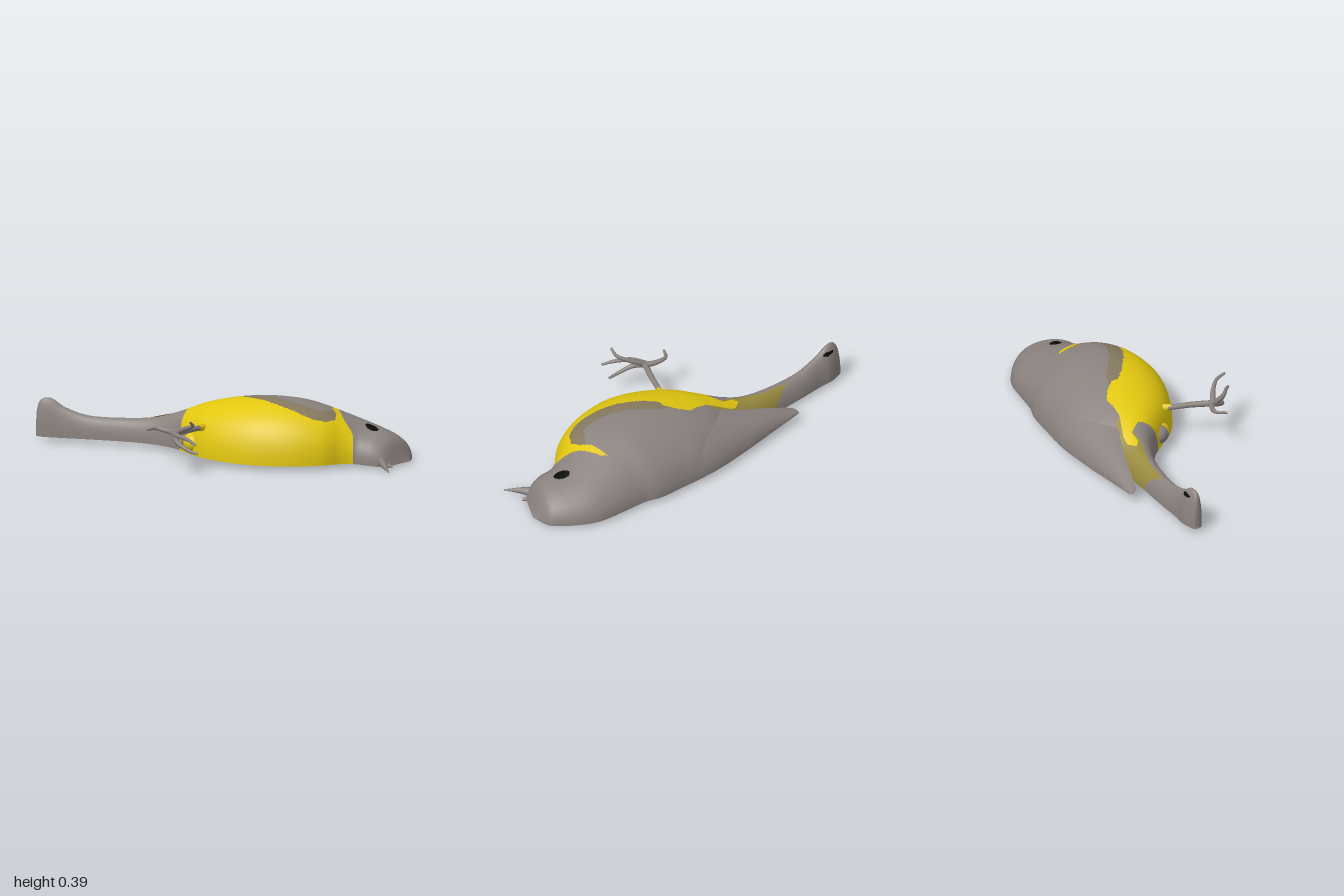
import * as THREE from 'three';

const mat = (name, color, side = THREE.DoubleSide) => {
  const m = new THREE.MeshStandardMaterial({ color, side });
  m.name = name;
  return m;
};

// Body stations from head to tail: belly edge x,z, back edge x,z, crest height, rim height
const STATIONS = [
  [.6, .845, .79, .785, .022, .02], [.545, .825, .86, .69, .145, .02],
  [.49, .785, .873, .62, .195, .025], [.455, .74, .86, .5, .22, .028],
  [.42, .71, .81, .36, .25, .03], [.34, .69, .7, .22, .3, .035],
  [.2, .685, .6, .1, .355, .04], [.02, .61, .54, 0, .39, .04],
  [-.15, .47, .42, -.13, .4, .04], [-.26, .3, .28, -.27, .378, .04],
  [-.32, .12, .1, -.38, .335, .04], [-.325, -.05, -.05, -.42, .285, .04],
  [-.33, -.22, -.17, -.46, .235, .04], [-.385, -.38, -.27, -.53, .195, .04],
  [-.5, -.54, -.4, -.64, .178, .04], [-.66, -.71, -.57, -.79, .18, .04],
  [-.77, -.82, -.69, -.89, .225, .04], [-.84, -.89, -.75, -.95, .28, .04],
  [-.875, -.93, -.82, -.99, .27, .04], [-.882, -.96, -.85, -1, .2, .04],
  [-.875, -.98, -.868, -.99, .05, .04],
];

// Wing stations: inner edge x,y,z, outer edge x,y,z
const WING = [
  [.07, .33, -.06, .44, .045, -.1], [-.07, .285, -.21, .26, .045, -.3],
  [-.165, .22, -.4, .03, .05, -.485], [-.28, .16, -.59, -.17, .06, -.635],
  [-.375, .1, -.73, -.34, .075, -.77], [-.37, .08, -.775, -.36, .078, -.78],
];

// Plumage patches as outlines seen from above
const YELLOW = [[-.27, -.41], [-.21, -.4], [-.17, -.36], [-.09, -.22], [.02, -.13], [.04, -.06], [.04, .03],
  [.01, .06], [.02, .16], [.06, .32], [.1, .42], [.16, .52], [.21, .57], [.29, .6], [.37, .58], [.41, .52],
  [.43, .44], [.5, .34], [.505, .38], [.45, .52], [.44, .58], [.45, .66], [.41, .73], [.3, .9],
  [-.5, .6], [-.5, 0], [-.3, -.17], [-.22, -.23], [-.21, -.32], [-.27, -.37]];
const DUSKY = [[.03, -.03], [.09, .06], [.13, .24], [.2, .41], [.29, .51], [.4, .49], [.44, .46],
  [.4, .6], [.27, .64], [.1, .55], [0, .3], [-.02, .1]];
const OLIVE = [[-.54, -.69], [-.4, -.64], [-.2, -.5], [-.08, -.25], [-.2, -.3], [-.3, -.38], [-.4, -.54]];

function inside(poly, x, z) {
  let hit = false;
  poly.forEach(([ax, az], i) => {
    const [bx, bz] = poly[(i + 1) % poly.length];
    if ((az > z) !== (bz > z) && x < ax + (bx - ax) * (z - az) / (bz - az)) hit = !hit;
  });
  return hit;
}

const spline = (rows, f) => new THREE.CatmullRomCurve3(rows.map(r => new THREE.Vector3(...f(r))), false, 'catmullrom', 0.5);

// Surface point(u, v) as a smooth sheet; pick() chooses the material of each triangle
function sheet(name, point, nu, nv, materials, pick = () => 0) {
  const pos = [], lists = materials.map(() => []);
  for (let i = 0; i <= nu; i++)
    for (let j = 0; j <= nv; j++) pos.push(...point(i / nu, j / nv));
  const centre = (t, k) => (pos[t[0] * 3 + k] + pos[t[1] * 3 + k] + pos[t[2] * 3 + k]) / 3;
  for (let i = 0; i < nu; i++)
    for (let j = 0; j < nv; j++) {
      const a = i * (nv + 1) + j, b = a + nv + 1;
      for (const t of [[a, a + 1, b], [a + 1, b + 1, b]])
        lists[pick(centre(t, 0), centre(t, 1), centre(t, 2), j / nv)].push(...t);
    }
  const g = new THREE.BufferGeometry();
  g.setAttribute('position', new THREE.Float32BufferAttribute(pos, 3));
  g.setIndex(lists.flat());
  let start = 0;
  lists.forEach((l, k) => {
    if (l.length) g.addGroup(start, l.length, k);
    start += l.length;
  });
  g.computeVertexNormals();
  const mesh = new THREE.Mesh(g, materials);
  mesh.name = name;
  return mesh;
}

// Tapering round limb through a few points
function limb(name, points, r0, r1, material) {
  const curve = new THREE.CatmullRomCurve3(points.map(p => new THREE.Vector3(...p)));
  const n = 20, sides = 8;
  const g = new THREE.TubeGeometry(curve, n, 1, sides);
  const p = g.attributes.position, v = new THREE.Vector3();
  for (let i = 0; i <= n; i++) {
    const c = curve.getPointAt(i / n), r = r0 + (r1 - r0) * i / n;
    for (let j = 0; j <= sides; j++) {
      const k = i * (sides + 1) + j;
      v.fromBufferAttribute(p, k).sub(c).multiplyScalar(r).add(c);
      p.setXYZ(k, v.x, v.y, v.z);
    }
  }
  const mesh = new THREE.Mesh(g, material);
  mesh.name = name;
  return mesh;
}

export function createModel() {
  const bird = new THREE.Group();
  bird.name = 'bird';
  const grey = mat('grey', 0x8a827f), yellow = mat('yellow', 0xe2c70f);
  const dusky = mat('dusky', 0x85795f), olive = mat('olive', 0x988a3e), black = mat('black', 0x0c0c0c);

  // Domed half body, hollow below, fuller on the belly side
  const belly = spline(STATIONS, r => [r[0], r[5], r[1]]);
  const back = spline(STATIONS, r => [r[2], r[5], r[3]]);
  const crest = spline(STATIONS, r => [r[4], 0, 0]);
  const dome = inset => (u, v) => {
    const a = belly.getPoint(u), b = back.getPoint(u), h = crest.getPoint(u).x;
    const t = v * Math.PI, w = (0.5 - 0.5 * Math.cos(t) * (1 - inset)) ** 1.2;
    return [a.x + (b.x - a.x) * w, a.y + (h - a.y) * Math.sin(t) * (1 - inset), a.z + (b.z - a.z) * w];
  };
  const plumage = (x, y, z, v) => {
    if (((x - .61) / .036) ** 2 + ((z - .62) / .05) ** 2 < 1) return 4;
    if (v > .6 && ((z + .93) / .03) ** 2 + ((y - .238) / .013) ** 2 < 1) return 4;
    if (inside(YELLOW, x, z)) return 1;
    if (inside(DUSKY, x, z)) return 2;
    return inside(OLIVE, x, z) ? 3 : 0;
  };
  bird.add(sheet('body', dome(0), 360, 130, [grey, yellow, dusky, olive, black], plumage));
  bird.add(sheet('innerLining', dome(0.03), 80, 30, [grey]));

  // Flat floor closing the tail
  bird.add(sheet('tailFloor', (u, v) => {
    const t = 0.6 + 0.4 * u;
    return belly.getPoint(t).lerp(back.getPoint(t), v).toArray();
  }, 30, 2, [grey]));

  // Folded wing with a free tip
  const inner = spline(WING, r => r.slice(0, 3)), outer = spline(WING, r => r.slice(3));
  bird.add(sheet('wing', (u, v) => {
    const a = inner.getPoint(u), b = outer.getPoint(u), t = v * Math.PI / 2;
    const w = Math.sin(t);
    return [a.x + (b.x - a.x) * w, b.y + (a.y - b.y) * Math.cos(t), a.z + (b.z - a.z) * w];
  }, 50, 20, [grey]));

  // Beak
  bird.add(limb('upperBeak', [[.575, .05, .79], [.55, .045, .86], [.515, .018, .99]], .034, .003, grey));
  bird.add(limb('lowerBeak', [[.6, .03, .8], [.61, .02, .865]], .02, .008, grey));

  // Thigh tuft beside the tail, yellow in front and grey behind
  for (const [name, material, turn] of [['tuftFront', yellow, 1], ['tuftBack', grey, -1]]) {
    const tuft = new THREE.Mesh(new THREE.SphereGeometry(1, 24, 10, 0, Math.PI * 2, 0, Math.PI / 2), material);
    tuft.name = name;
    tuft.rotation.x = turn * Math.PI / 2;
    tuft.scale.set(.065, .085, .065);
    tuft.position.set(-.295, .11, -.045);
    bird.add(tuft);
  }

  // Leg and toes
  bird.add(limb('thigh', [[-.25, .215, .06], [-.29, .223, .077], [-.33, .228, .092]], .034, .017, yellow));
  bird.add(limb('shank', [[-.31, .225, .08], [-.44, .235, .145], [-.57, .24, .2]], .017, .021, grey));
  const toes = {
    backToe: [[-.56, .24, .2], [-.585, .245, .13], [-.63, .255, .075], [-.7, .255, .09]],
    upperToe: [[-.57, .24, .19], [-.54, .28, .28], [-.535, .315, .37], [-.575, .345, .41]],
    middleToe: [[-.57, .24, .19], [-.6, .245, .29], [-.585, .235, .4], [-.575, .215, .47]],
    lowerToe: [[-.57, .24, .19], [-.595, .2, .28], [-.565, .16, .37], [-.53, .145, .42]],
  };
  for (const [name, pts] of Object.entries(toes)) bird.add(limb(name, pts, .02, .008, grey));

  return bird;
}
